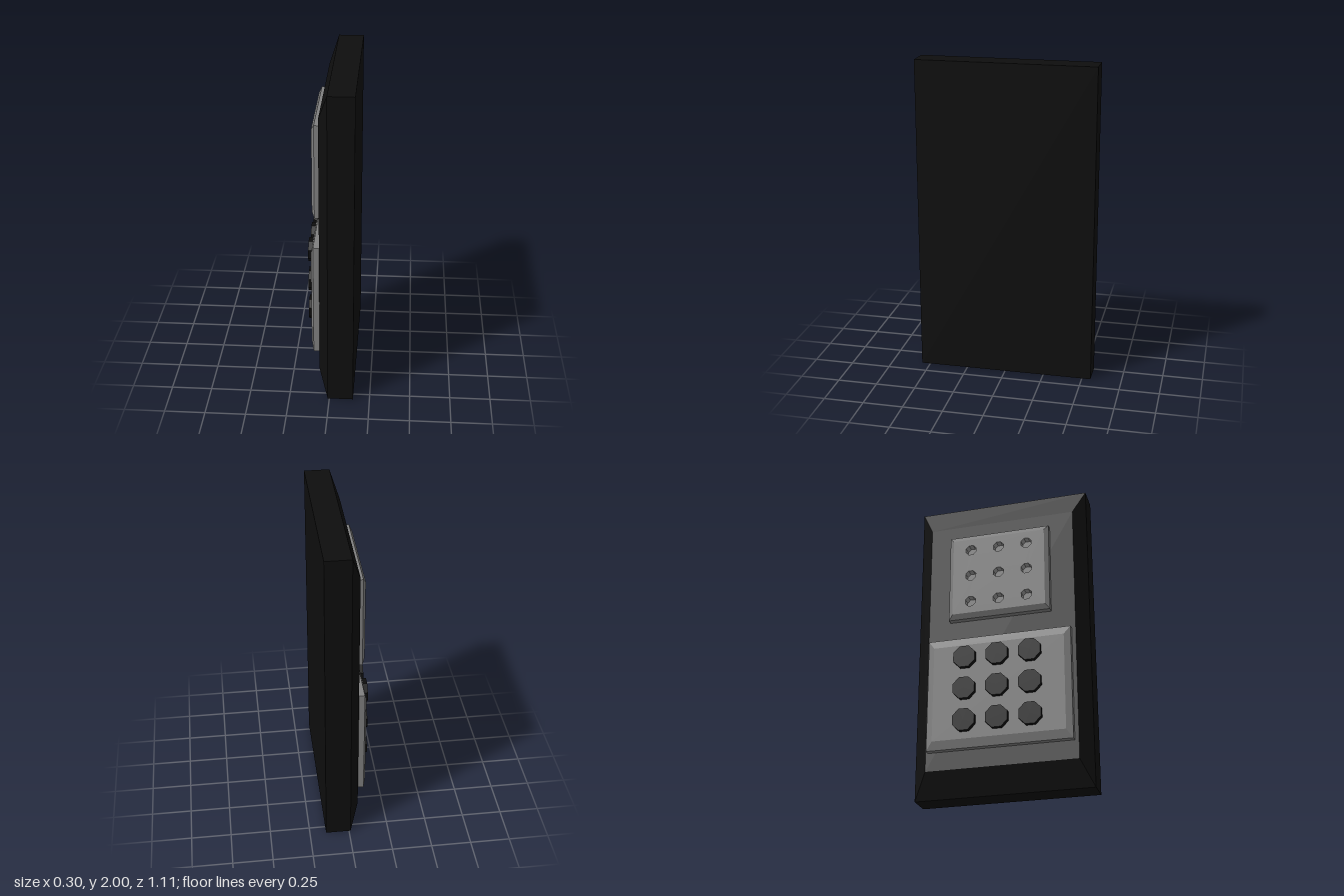
import * as THREE from 'three';

const mat = (color) => new THREE.MeshStandardMaterial({ color, flatShading: true });
const black = mat(0x0e0e0e), charcoal = mat(0x404040), grey = mat(0x808080);
const holeWall = mat(0x999999);
holeWall.side = THREE.BackSide;

function add(parent, name, geometry, material, x = 0, y = 0, z = 0) {
  const mesh = new THREE.Mesh(geometry, material);
  mesh.name = name;
  mesh.position.set(x, y, z);
  parent.add(mesh);
  return mesh;
}

// Chamfered rectangular shell, closed at the rear and open at the front (z2)
function shell(w, h, z0, z1, z2, insetX, insetY) {
  const ring = (a, b, z) => [[-a, -b, z], [a, -b, z], [a, b, z], [-a, b, z]];
  const rings = [ring(w / 2, h / 2, z0), ring(w / 2, h / 2, z1),
    ring(w / 2 - insetX, h / 2 - insetY, z2)];
  const pos = [];
  const quad = (a, b, c, d) => pos.push(...a, ...b, ...c, ...a, ...c, ...d);
  for (let r = 0; r < 2; r++) {
    for (let i = 0; i < 4; i++) {
      const j = (i + 1) % 4;
      quad(rings[r][i], rings[r][j], rings[r + 1][j], rings[r + 1][i]);
    }
  }
  const [a, b, c, d] = rings[0];
  quad(d, c, b, a);
  const g = new THREE.BufferGeometry();
  g.setAttribute('position', new THREE.Float32BufferAttribute(pos, 3));
  g.computeVertexNormals();
  return g;
}

// 3 x 3 grid of [x, y] offsets
function grid(stepX, stepY) {
  const points = [];
  for (let row = 1; row >= -1; row--)
    for (let col = -1; col <= 1; col++) points.push([col * stepX, row * stepY]);
  return points;
}

// Eight-sided prism along z with flats on its sides
function octagon(radius, depth, open = false) {
  return new THREE.CylinderGeometry(radius, radius, depth, 8, 1, open)
    .rotateY(Math.PI / 8).rotateX(Math.PI / 2);
}

export function createModel() {
  const model = new THREE.Group();
  model.name = 'keypadIntercom';

  // Built facing +z, then turned so the panel faces -x
  const unit = new THREE.Group();
  unit.name = 'intercomUnit';
  unit.rotation.y = -Math.PI / 2;
  model.add(unit);

  // Housing and its inner face plate
  add(unit, 'housing', shell(1.11, 2, -0.147, 0.01, 0.065, 0.08, 0.165), black, 0, 1, 0);
  add(unit, 'facePlate', new THREE.PlaneGeometry(0.95, 1.67), charcoal, 0, 1, 0.065);

  // Speaker panel with nine holes
  const speaker = new THREE.Group();
  speaker.name = 'speakerPanel';
  speaker.position.set(-0.004, 1.437, 0);
  unit.add(speaker);
  const w = 0.656, h = 0.595, bx = 0.027, by = 0.033, front = 0.12;
  add(speaker, 'speakerFrame', shell(w, h, 0.06, 0.103, front, bx, by), grey);
  const a = w / 2 - bx, b = h / 2 - by;
  const plate = new THREE.Shape([[-a, -b], [a, -b], [a, b], [-a, b]]
    .map(([x, y]) => new THREE.Vector2(x, y)));
  for (const [x, y] of grid(0.183, 0.185)) {
    const points = [];
    for (let i = 0; i < 8; i++) {
      const t = (i + 0.5) * Math.PI / 4;
      points.push(new THREE.Vector2(x + 0.036 * Math.cos(t), y + 0.036 * Math.sin(t)));
    }
    plate.holes.push(new THREE.Path(points.reverse()));
    add(speaker, 'speakerHoleWall', octagon(0.036, 0.05, true), holeWall, x, y, front - 0.025);
    add(speaker, 'speakerHoleFloor', new THREE.CircleGeometry(0.036, 8, Math.PI / 8), grey,
      x, y, front - 0.05);
  }
  add(speaker, 'speakerPlate', new THREE.ShapeGeometry(plate), grey, 0, 0, front);

  // Keypad panel with nine buttons
  const keypad = new THREE.Group();
  keypad.name = 'keypadPanel';
  keypad.position.set(-0.005, 0.6425, 0);
  unit.add(keypad);
  add(keypad, 'keypadFrame', shell(0.91, 0.725, 0.06, 0.103, 0.118, 0.04, 0.055), grey);
  add(keypad, 'keypadPlate', new THREE.PlaneGeometry(0.83, 0.615), grey, 0, 0, 0.118);
  for (const [x, y] of grid(0.207, 0.207))
    add(keypad, 'keypadButton', octagon(0.0747, 0.047), black, x - 0.003, y + 0.0125, 0.1245);

  return model;
}
